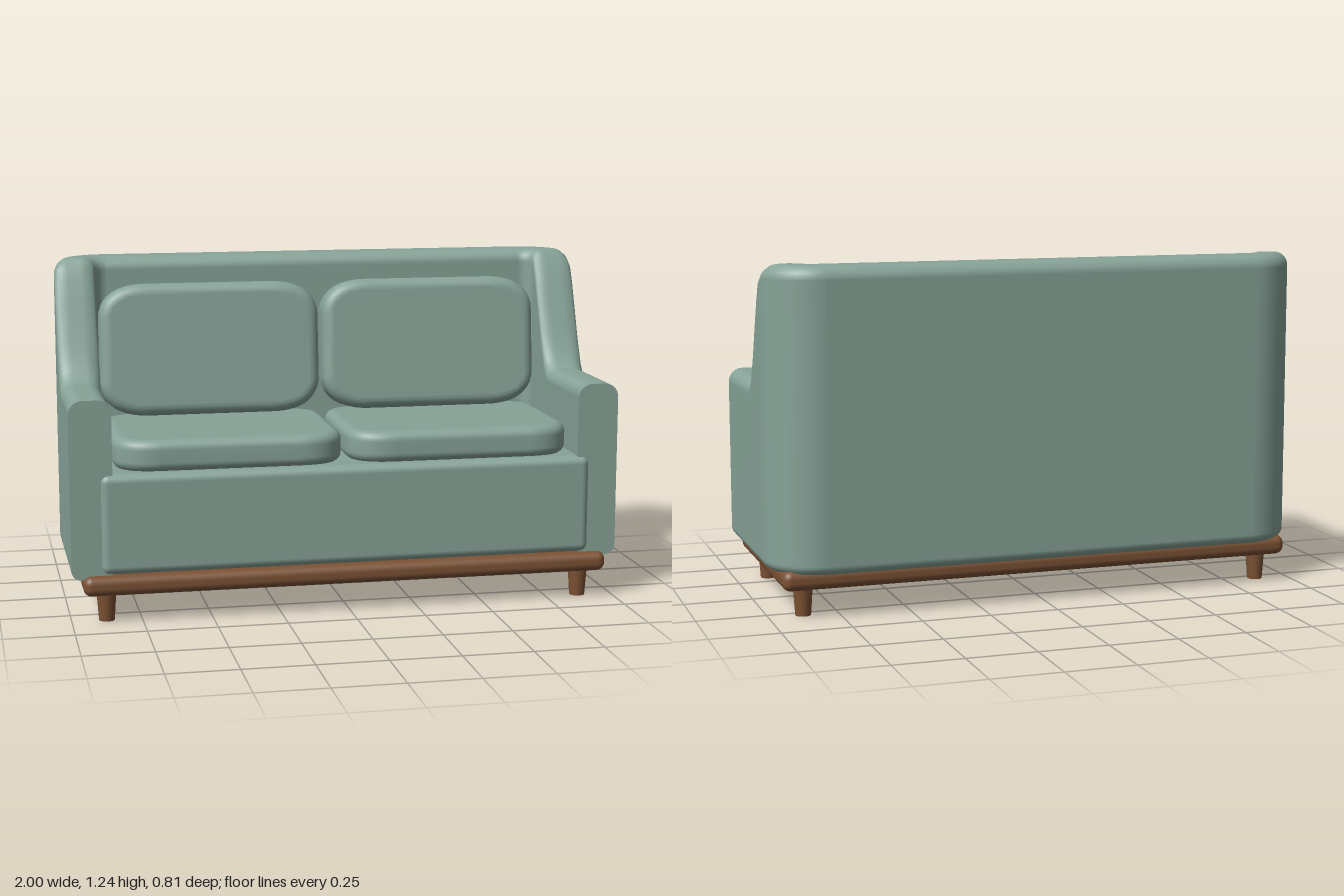
import * as THREE from 'three';
import { mergeVertices } from 'three/addons/utils/BufferGeometryUtils.js';
import { RoundedBoxGeometry } from 'three/addons/geometries/RoundedBoxGeometry.js';

const fabric = new THREE.MeshStandardMaterial({ color: 0x87a398 });
fabric.name = 'sage fabric';
const wood = new THREE.MeshStandardMaterial({ color: 0x7b5234 });
wood.name = 'brown wood';

function part(name, geometry, material, x = 0, y = 0, z = 0) {
  const mesh = new THREE.Mesh(geometry, material);
  mesh.name = name;
  mesh.position.set(x, y, z);
  return mesh;
}

// Soft cushion: rounded outline in xy, thickness along z, centred
function cushionGeometry(w, h, depth, cornerX, cornerY, edge) {
  const a = w / 2 - edge, b = h / 2 - edge, p = cornerX, q = cornerY;
  const s = new THREE.Shape();
  s.moveTo(-a + p, -b);
  s.lineTo(a - p, -b);
  s.bezierCurveTo(a - p * 0.35, -b, a, -b + q * 0.35, a, -b + q);
  s.lineTo(a, b - q);
  s.bezierCurveTo(a, b - q * 0.35, a - p * 0.35, b, a - p, b);
  s.lineTo(-a + p, b);
  s.bezierCurveTo(-a + p * 0.35, b, -a, b - q * 0.35, -a, b - q);
  s.lineTo(-a, -b + q);
  s.bezierCurveTo(-a, -b + q * 0.35, -a + p * 0.35, -b, -a + p, -b);
  const geo = new THREE.ExtrudeGeometry(s, {
    depth: depth - 2 * edge, bevelEnabled: true, bevelSize: edge,
    bevelThickness: edge, bevelSegments: 6, curveSegments: 10,
  });
  geo.translate(0, 0, -(depth - 2 * edge) / 2);
  geo.deleteAttribute('uv');
  geo.deleteAttribute('normal');
  const smooth = mergeVertices(geo, 1e-4);
  smooth.computeVertexNormals();
  return smooth;
}

// Height of the arm and back rail by depth: [z, y]
const rail = [[0.375, 0.8], [0.02, 0.8], [-0.02, 0.805], [-0.05, 0.845], [-0.075, 0.895],
  [-0.1, 0.95], [-0.15, 1.08], [-0.18, 1.155], [-0.205, 1.205], [-0.225, 1.23], [-0.245, 1.237]];

function railHeight(z) {
  for (let i = 1; i < rail.length; i++) {
    const [z0, y0] = rail[i - 1], [z1, y1] = rail[i];
    if (z >= z1) return y0 + (y1 - y0) * (z0 - z) / (z0 - z1);
  }
  return rail[rail.length - 1][1];
}

// Rounded wall section: u across the wall (outward), v up
function wallSection(height) {
  const half = 0.075, bottom = 0.16, n = 6, pts = [];
  const corners = [[1, -1, 0.035, -90], [1, 1, 0.05, 0], [-1, 1, 0.05, 90], [-1, -1, 0.035, 180]];
  for (const [su, sv, r, start] of corners) {
    for (let i = 0; i <= n; i++) {
      const a = THREE.MathUtils.degToRad(start + 90 * i / n);
      pts.push([su * (half - r) + r * Math.cos(a),
        (sv > 0 ? height - r : bottom + r) + r * Math.sin(a)]);
    }
  }
  return pts;
}

// Arms and back: one wall swept around a U-shaped plan
function shellGeometry() {
  const half = [];
  for (const [z] of rail) if (z > -0.205) half.push([0.925, z, 0]);
  for (let i = 0; i <= 12; i++) {
    const a = i / 12 * Math.PI / 2;
    half.push([0.8 + 0.125 * Math.cos(a), -0.205 - 0.125 * Math.sin(a), a]);
  }
  const stations = [...half, ...half.slice().reverse().map(([x, z, a]) => [-x, z, Math.PI - a])];

  const pos = [], index = [];
  const addRing = ([x, z, a]) => {
    const pts = wallSection(railHeight(z));
    for (const [u, v] of pts) pos.push(x + u * Math.cos(a), v, z - u * Math.sin(a));
    return pts.length;
  };
  let n = 0;
  for (const s of stations) n = addRing(s);
  for (let i = 0; i < stations.length - 1; i++) {
    for (let j = 0; j < n; j++) {
      const k = (j + 1) % n;
      const a = i * n + j, b = i * n + k, c = b + n, d = a + n;
      index.push(a, d, c, a, c, b);
    }
  }
  // flat front ends of the arms
  [stations[0], stations[stations.length - 1]].forEach((s, end) => {
    const o = pos.length / 3;
    addRing(s);
    for (let j = 1; j < n - 1; j++) {
      if (end === 0) index.push(o, o + j, o + j + 1);
      else index.push(o, o + j + 1, o + j);
    }
  });
  const geo = new THREE.BufferGeometry();
  geo.setAttribute('position', new THREE.Float32BufferAttribute(pos, 3));
  geo.setIndex(index);
  geo.computeVertexNormals();
  return geo;
}

export function createModel() {
  const sofa = new THREE.Group();
  sofa.name = 'sofa';

  sofa.add(part('armsAndBack', shellGeometry(), fabric));

  // Upholstered seat base, its front standing slightly proud of the arms
  sofa.add(part('seatBase', new RoundedBoxGeometry(1.79, 0.36, 0.69, 5, 0.03), fabric, 0, 0.355, 0.045));

  // Seat and back cushions
  const seatGeo = cushionGeometry(0.83, 0.61, 0.115, 0.13, 0.1, 0.035);
  seatGeo.rotateX(-Math.PI / 2);
  const backGeo = cushionGeometry(0.83, 0.495, 0.14, 0.14, 0.09, 0.04);
  backGeo.rotateX(-0.11);
  for (const side of [1, -1]) {
    const label = side > 0 ? 'left' : 'right';
    sofa.add(part(label + 'SeatCushion', seatGeo, fabric, side * 0.423, 0.588, 0.055));
    sofa.add(part(label + 'BackCushion', backGeo, fabric, side * 0.423, 0.888, -0.215));
  }

  // Wooden plinth and tapered legs
  sofa.add(part('plinth', new RoundedBoxGeometry(1.92, 0.072, 0.77, 5, 0.03), wood, 0, 0.138, 0.02));
  const legGeo = new THREE.CylinderGeometry(0.036, 0.028, 0.115, 20);
  for (const x of [0.875, -0.875]) {
    for (const z of [0.325, -0.28]) {
      sofa.add(part((z > 0 ? 'front' : 'back') + (x > 0 ? 'Left' : 'Right') + 'Leg', legGeo, wood, x, 0.0575, z));
    }
  }
  return sofa;
}
